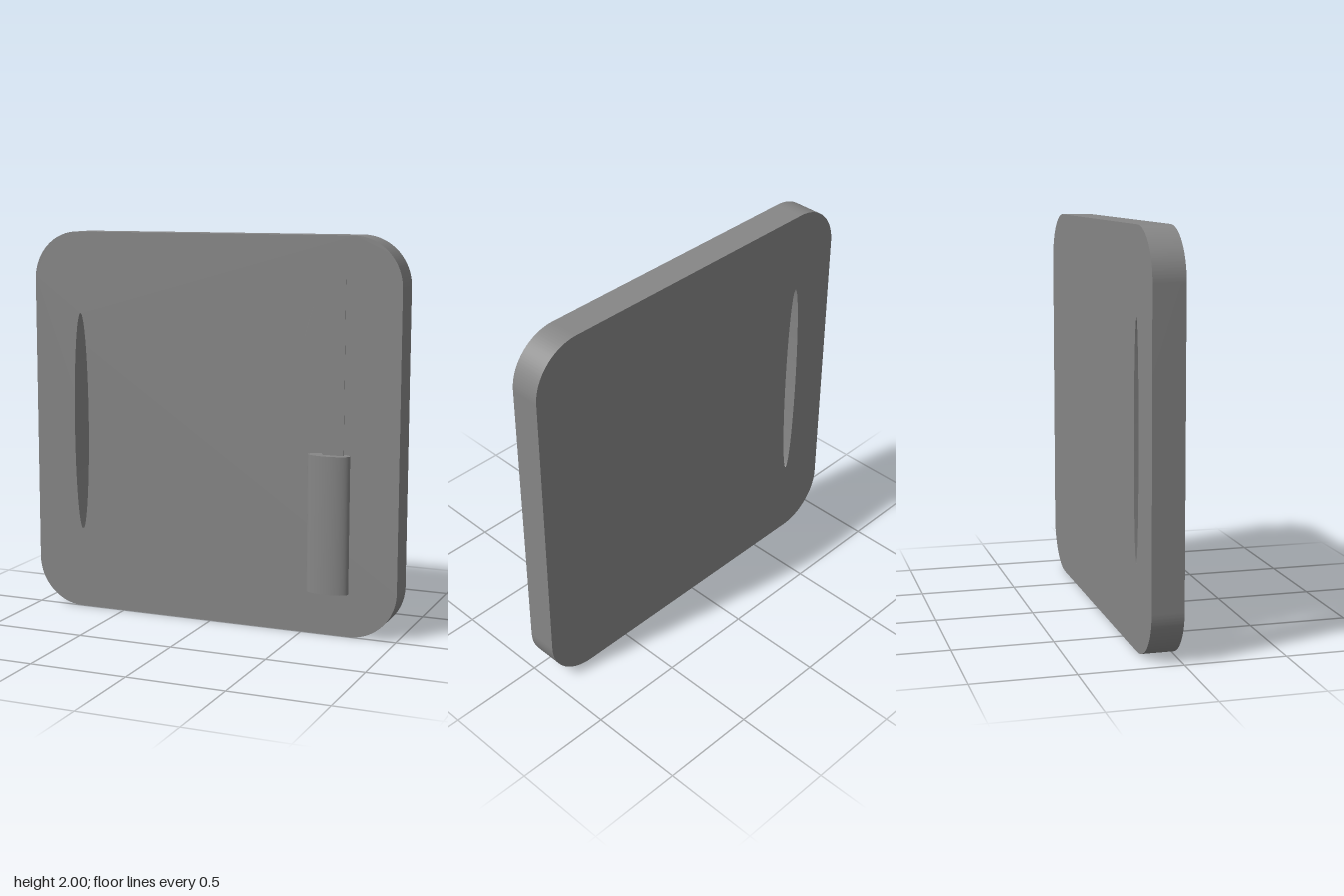
import * as THREE from 'three';
import { toCreasedNormals } from 'three/addons/utils/BufferGeometryUtils.js';

const darkGrey = new THREE.MeshStandardMaterial({ color: 0x868686 });

function part(name, geometry) {
  const mesh = new THREE.Mesh(geometry, darkGrey);
  mesh.name = name;
  return mesh;
}

// Extrude a shape along z from z0 to z0 + depth, smooth on curves and sharp on corners
function slab(shape, z0, depth) {
  const geometry = new THREE.ExtrudeGeometry(shape, { depth, bevelEnabled: false, curveSegments: 32 });
  geometry.translate(0, 0, z0);
  return toCreasedNormals(geometry, Math.PI / 7);
}

// Square outline with rounded corners, standing on y = 0
function roundedSquare(half, r) {
  const shape = new THREE.Shape();
  const c = half - r;
  [[c, c], [-c, c], [-c, -c], [c, -c]].forEach(([x, y], i) => {
    shape.absarc(x, y + half, r, i * Math.PI / 2, (i + 1) * Math.PI / 2, false);
  });
  shape.closePath();
  return shape;
}

export function createModel() {
  const model = new THREE.Group();
  model.name = 'cuttingBoardWithKnife';

  // Board with an elliptical grip slot
  const outline = roundedSquare(1, 0.25);
  const slot = new THREE.Path();
  slot.absellipse(-0.738, 1.0, 0.041, 0.577, 0, Math.PI * 2, true);
  outline.holes.push(slot);
  model.add(part('board', slab(outline, -0.157, 0.157)));

  // Knife floating in front of the board
  const knife = new THREE.Group();
  knife.name = 'knife';
  knife.position.z = 0.108;

  // Oval handle
  const handle = new THREE.CylinderGeometry(1, 1, 0.69, 48);
  handle.scale(0.108, 1, 0.047);
  handle.translate(0.675, 0.595, 0);
  knife.add(part('handle', handle));

  // Very thin blade: curved edge, slanted tip, straight spine
  const profile = new THREE.Shape();
  profile.moveTo(0.75, 0.94);
  profile.lineTo(0.75, 1.795);
  profile.lineTo(0.612, 1.72);
  profile.quadraticCurveTo(0.432, 1.34, 0.642, 0.94);
  profile.closePath();
  knife.add(part('blade', slab(profile, -0.001, 0.002)));

  model.add(knife);
  return model;
}
